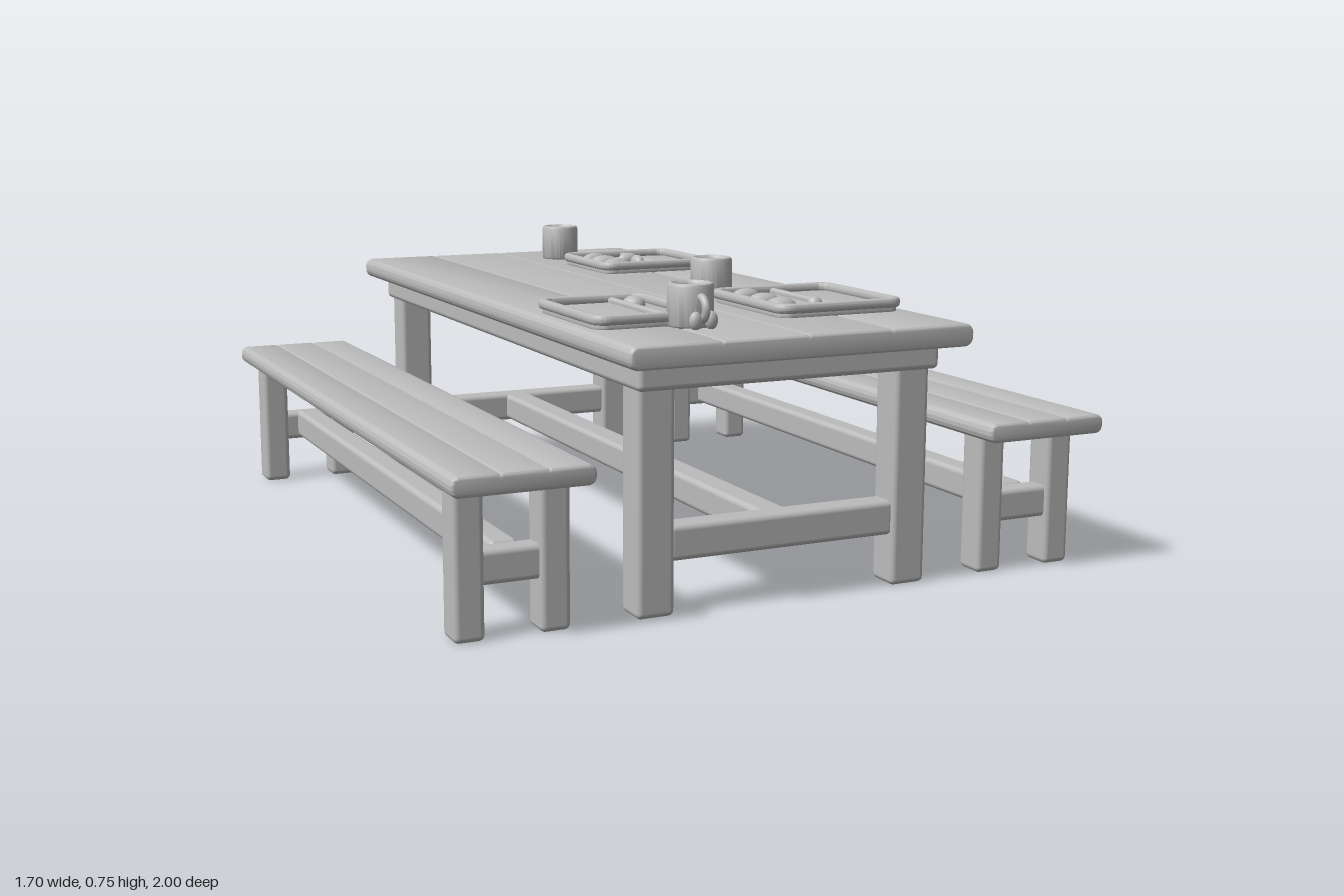
import * as THREE from 'three';
import { toCreasedNormals } from 'three/addons/utils/BufferGeometryUtils.js';
import { RoundedBoxGeometry } from 'three/addons/geometries/RoundedBoxGeometry.js';

const clay = new THREE.MeshStandardMaterial({ color: 0xbcbcbc });
clay.name = 'clay grey';

const TABLE_Y = 0.645;

function add(parent, name, geometry, x = 0, y = 0, z = 0) {
  const mesh = new THREE.Mesh(geometry, clay);
  mesh.name = name;
  mesh.position.set(x, y, z);
  parent.add(mesh);
  return mesh;
}

// Softened beam given by its extents on each axis
function beam(parent, name, [x0, x1], [y0, y1], [z0, z1], r = 0.014) {
  const geo = new RoundedBoxGeometry(x1 - x0, y1 - y0, z1 - z0, 3, r);
  return add(parent, name, geo, (x0 + x1) / 2, (y0 + y1) / 2, (z0 + z1) / 2);
}

function roundedRect(path, w, d, r) {
  const x = w / 2, y = d / 2;
  path.moveTo(-x + r, -y);
  path.lineTo(x - r, -y).absarc(x - r, -y + r, r, -Math.PI / 2, 0);
  path.lineTo(x, y - r).absarc(x - r, y - r, r, 0, Math.PI / 2);
  path.lineTo(-x + r, y).absarc(-x + r, y - r, r, Math.PI / 2, Math.PI);
  path.lineTo(-x, -y + r).absarc(-x + r, -y + r, r, Math.PI, Math.PI * 1.5);
  return path;
}

// Plank board: rounded long edges, shallow seams on top, softened ends
function board(parent, name, x, width, y0, y1, length, seams) {
  const w = width / 2, h = y1 - y0, r = h * 0.42, b = 0.008;
  const s = new THREE.Shape();
  s.moveTo(-w + r, 0);
  s.lineTo(w - r, 0).absarc(w - r, r, r, -Math.PI / 2, 0);
  s.lineTo(w, h - r).absarc(w - r, h - r, r, 0, Math.PI / 2);
  for (const c of [...seams].reverse()) {
    s.lineTo(c + 0.006, h).lineTo(c, h - 0.003).lineTo(c - 0.006, h);
  }
  s.lineTo(-w + r, h).absarc(-w + r, h - r, r, Math.PI / 2, Math.PI);
  s.lineTo(-w, r).absarc(-w + r, r, r, Math.PI, Math.PI * 1.5);
  const geo = new THREE.ExtrudeGeometry(s, {
    depth: length - 2 * b, bevelEnabled: true, bevelSize: b, bevelThickness: b,
    bevelOffset: -b, bevelSegments: 3, curveSegments: 6,
  });
  geo.translate(0, 0, -length / 2 + b);
  add(parent, name, toCreasedNormals(geo, 0.6), x, y0, 0);
}

function createTable() {
  const table = new THREE.Group();
  table.name = 'table';
  board(table, 'tableTop', 0, 0.89, 0.59, TABLE_Y, 2, [-0.22, 0, 0.22]);
  for (const s of [-1, 1]) {
    const span = (a, b) => (s > 0 ? [a, b] : [-b, -a]);
    // Apron frame under the top
    beam(table, 'sideApron', span(0.33, 0.395), [0.53, 0.6], [-0.935, 0.935]);
    beam(table, 'endApron', [-0.395, 0.395], [0.53, 0.6], span(0.86, 0.935));
    // Legs and the rail between each pair
    for (const x of [[-0.385, -0.29], [0.29, 0.385]]) {
      beam(table, 'tableLeg', x, [0, 0.56], span(0.82, 0.91));
    }
    beam(table, 'endStretcher', [-0.3, 0.3], [0.125, 0.21], span(0.83, 0.9));
  }
  beam(table, 'longStretcher', [-0.04, 0.04], [0.13, 0.208], [-0.85, 0.85]);
  return table;
}

function createBench(side) {
  const bench = new THREE.Group();
  bench.name = side > 0 ? 'leftBench' : 'rightBench';
  bench.position.x = side * 0.682;
  board(bench, 'seat', 0, 0.335, 0.345, 0.393, 1.97, [-0.056, 0.056]);
  for (const z of [[0.825, 0.905], [-0.905, -0.825]]) {
    for (const x of [[-0.138, -0.065], [0.065, 0.138]]) {
      beam(bench, 'benchLeg', x, [0, 0.37], z);
    }
    beam(bench, 'benchEndStretcher', [-0.08, 0.08], [0.122, 0.203], [z[0] + 0.01, z[1] - 0.01]);
  }
  beam(bench, 'benchLongStretcher', [-0.035, 0.035], [0.13, 0.208], [-0.85, 0.85]);
  return bench;
}

// Shallow meal tray with a raised rim, one divider and small food lumps
function createTray(x0, x1, z0, z1, divider, foods) {
  const tray = new THREE.Group();
  tray.name = 'tray';
  const w = x1 - x0, d = z1 - z0, cx = (x0 + x1) / 2, cz = (z0 + z1) / 2;
  tray.position.set(cx, TABLE_Y - 0.003, cz);

  const flat = (shape, depth, b) => {
    const geo = new THREE.ExtrudeGeometry(shape, {
      depth: depth - 2 * b, bevelEnabled: true, bevelSize: b, bevelThickness: b,
      bevelOffset: -b, bevelSegments: 3, curveSegments: 6,
    });
    geo.translate(0, 0, b).rotateX(-Math.PI / 2);
    return toCreasedNormals(geo, 0.7);
  };
  add(tray, 'trayBase', flat(roundedRect(new THREE.Shape(), w - 0.016, d - 0.016, 0.036), 0.017, 0.004));
  const rim = roundedRect(new THREE.Shape(), w, d, 0.042);
  rim.holes.push(roundedRect(new THREE.Path(), w - 0.044, d - 0.044, 0.025));
  add(tray, 'trayRim', flat(rim, 0.024, 0.008), 0, 0.013, 0);

  const bar = new RoundedBoxGeometry(0.02, 0.02, d - 0.03, 3, 0.008);
  add(tray, 'trayDivider', bar, divider - cx, 0.02, 0);

  for (const [fx, fz, lx, lz, turn] of foods) {
    const lump = add(tray, 'food', new THREE.SphereGeometry(1, 18, 12), fx - cx, 0.02, fz - cz);
    lump.scale.set(lx, 0.022, lz);
    lump.rotation.y = turn;
  }
  return tray;
}

// Hollow cup turned on a lathe
function createCup(x, z) {
  const cup = new THREE.Group();
  cup.name = 'cup';
  cup.position.set(x, TABLE_Y - 0.002, z);
  const profile = [
    [0, 0], [0.05, 0], [0.055, 0.005], [0.055, 0.095], [0.052, 0.102], [0.046, 0.104],
    [0.04, 0.1], [0.038, 0.094], [0.036, 0.03], [0.03, 0.022], [0, 0.022],
  ].map(([r, y]) => new THREE.Vector2(r, y));
  add(cup, 'cupBody', toCreasedNormals(new THREE.LatheGeometry(profile, 32), 0.8));
  return cup;
}

export function createModel() {
  const model = new THREE.Group();
  model.name = 'diningTableWithBenches';
  model.add(createTable(), createBench(1), createBench(-1));

  // Place settings
  model.add(
    createTray(0.06, 0.415, -0.615, -0.28, 0.26, [
      [0.13, -0.515, 0.042, 0.022, 0.15], [0.13, -0.44, 0.045, 0.022, -0.2],
      [0.13, -0.355, 0.044, 0.026, 0.1], [0.225, -0.475, 0.035, 0.018, 0],
      [0.225, -0.41, 0.018, 0.03, 0],
    ]),
    createTray(0.06, 0.415, 0.375, 0.755, 0.24, [
      [0.125, 0.46, 0.044, 0.025, 0.2], [0.125, 0.555, 0.042, 0.026, -0.1],
      [0.12, 0.65, 0.042, 0.032, 0.1], [0.205, 0.67, 0.02, 0.018, 0],
    ]),
    createTray(-0.42, -0.125, 0.375, 0.755, -0.22, [
      [-0.195, 0.475, 0.028, 0.03, 0.3],
    ]),
    createCup(0.125, -0.775),
    createCup(0.125, 0.268),
  );

  // Cup with a small handle on its front
  const mug = createCup(-0.18, 0.757);
  const handle = add(mug, 'cupHandle', new THREE.TorusGeometry(0.026, 0.01, 10, 24), 0, 0.048, 0.055);
  handle.rotation.y = Math.PI / 2;
  for (const s of [-1, 1]) {
    const tab = add(mug, 'handleTab', new THREE.SphereGeometry(1, 14, 10), s * 0.02, 0.022, 0.068);
    tab.scale.set(0.016, 0.022, 0.013);
  }
  model.add(mug);
  return model;
}
